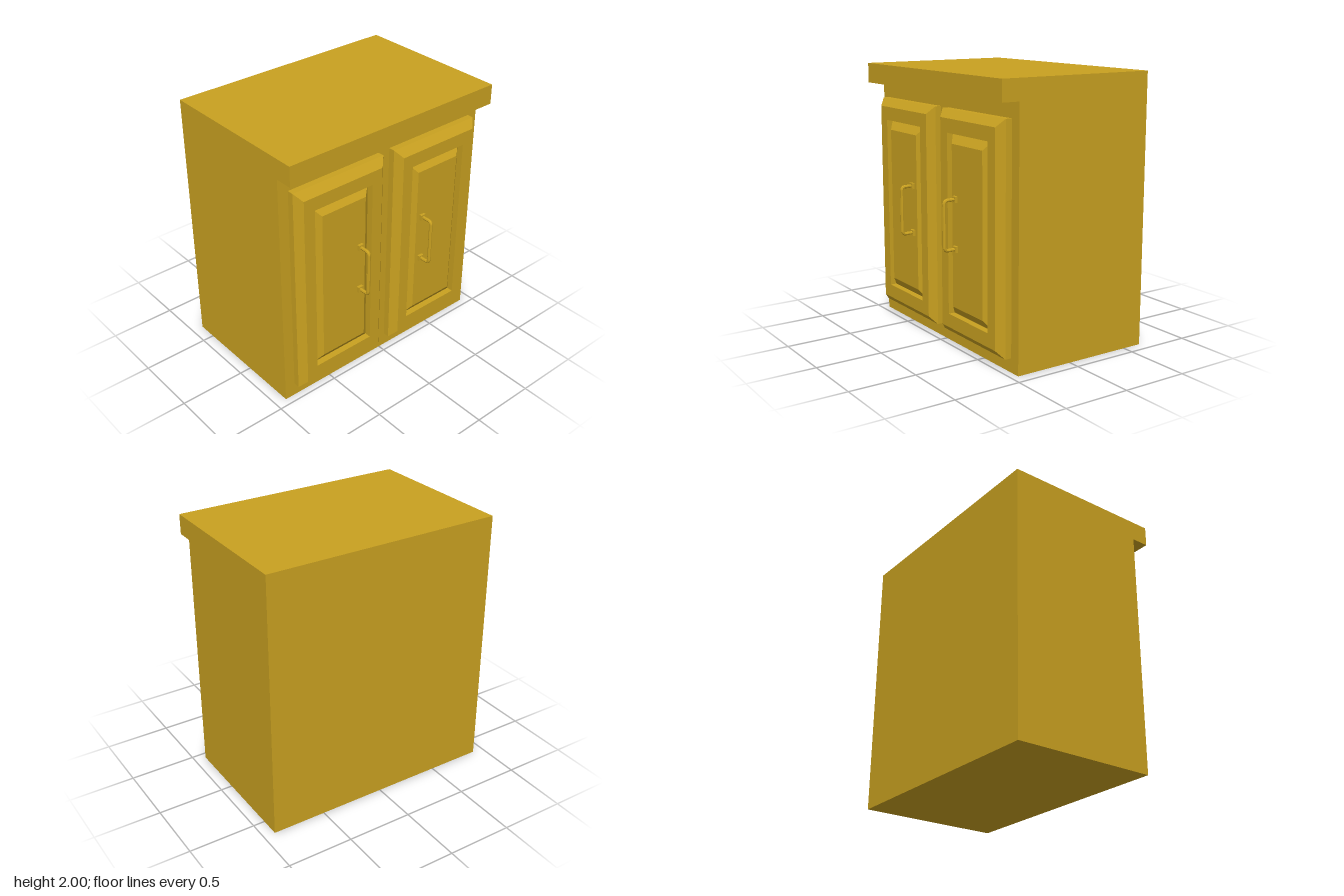
import * as THREE from 'three';

const material = new THREE.MeshStandardMaterial({ color: 0xc8a020, flatShading: true });

function addMesh(parent, name, geometry) {
  const mesh = new THREE.Mesh(geometry, material);
  mesh.name = name;
  parent.add(mesh);
  return mesh;
}

// Box given by its lower and upper corners
function addBox(parent, name, min, max) {
  const size = max.map((v, i) => v - min[i]);
  const mesh = addMesh(parent, name, new THREE.BoxGeometry(...size));
  mesh.position.set(...max.map((v, i) => (v + min[i]) / 2));
}

// Surface through nested rectangles [x0, x1, y0, y1, z], closed by the last one
function steppedPanel(rings) {
  const loops = rings.map(([x0, x1, y0, y1, z]) => [[x0, y0, z], [x1, y0, z], [x1, y1, z], [x0, y1, z]]);
  const points = [];
  const quad = (a, b, c, d) => points.push(...a, ...b, ...c, ...a, ...c, ...d);
  for (let r = 0; r < loops.length - 1; r++) {
    const p = loops[r], q = loops[r + 1];
    for (let i = 0; i < 4; i++) {
      const j = (i + 1) % 4;
      quad(p[i], p[j], q[j], q[i]);
    }
  }
  quad(...loops[loops.length - 1]);
  const geometry = new THREE.BufferGeometry();
  geometry.setAttribute('position', new THREE.Float32BufferAttribute(points, 3));
  geometry.computeVertexNormals();
  return geometry;
}

// Bent rod of a handle: out, along the door, and back in
function handleRod(low, high, zBack, zFront, bend) {
  const v = (y, z) => new THREE.Vector3(0, y, z);
  const path = new THREE.CurvePath();
  path.add(new THREE.LineCurve3(v(low, zBack), v(low, zFront - bend)));
  path.add(new THREE.QuadraticBezierCurve3(v(low, zFront - bend), v(low, zFront), v(low + bend, zFront)));
  path.add(new THREE.LineCurve3(v(low + bend, zFront), v(high - bend, zFront)));
  path.add(new THREE.QuadraticBezierCurve3(v(high - bend, zFront), v(high, zFront), v(high, zFront - bend)));
  path.add(new THREE.LineCurve3(v(high, zFront - bend), v(high, zBack)));
  return new THREE.TubeGeometry(path, 64, 0.013, 8);
}

export function createModel() {
  const cabinet = new THREE.Group();
  cabinet.name = 'cabinet';

  // Carcass and overhanging top
  addBox(cabinet, 'body', [-0.912, 0, -0.65], [0.912, 1.85, 0.444]);
  addBox(cabinet, 'countertop', [-0.912, 1.85, -0.65], [0.912, 2, 0.578]);

  const back = 0.444, mid = 0.492, front = 0.542;
  const rings = [
    [0.05, 0.83, 0.103, 1.735, back],
    [0.05, 0.83, 0.103, 1.735, mid],
    [0.10, 0.78, 0.159, 1.678, front],
    [0.188, 0.69, 0.26, 1.577, front],
    [0.188, 0.69, 0.26, 1.577, mid],
    [0.249, 0.63, 0.33, 1.507, front],
  ];

  for (const side of [1, -1]) {
    const prefix = side > 0 ? 'left' : 'right';

    // Door with bevelled rim, groove and raised centre panel
    const sideRings = rings.map(([x0, x1, ...rest]) => (side > 0 ? [x0, x1, ...rest] : [-x1, -x0, ...rest]));
    addMesh(cabinet, prefix + 'Door', steppedPanel(sideRings));

    // Handle with two mounting blocks
    const handle = new THREE.Group();
    handle.name = prefix + 'Handle';
    handle.position.x = side * 0.3;
    cabinet.add(handle);
    addMesh(handle, 'rod', handleRod(0.766, 1.124, front, 0.64, 0.028));
    for (const y of [0.766, 1.124]) {
      addBox(handle, 'mount', [-0.021, y - 0.022, front - 0.002], [0.021, y + 0.022, 0.563]);
    }
  }
  return cabinet;
}
